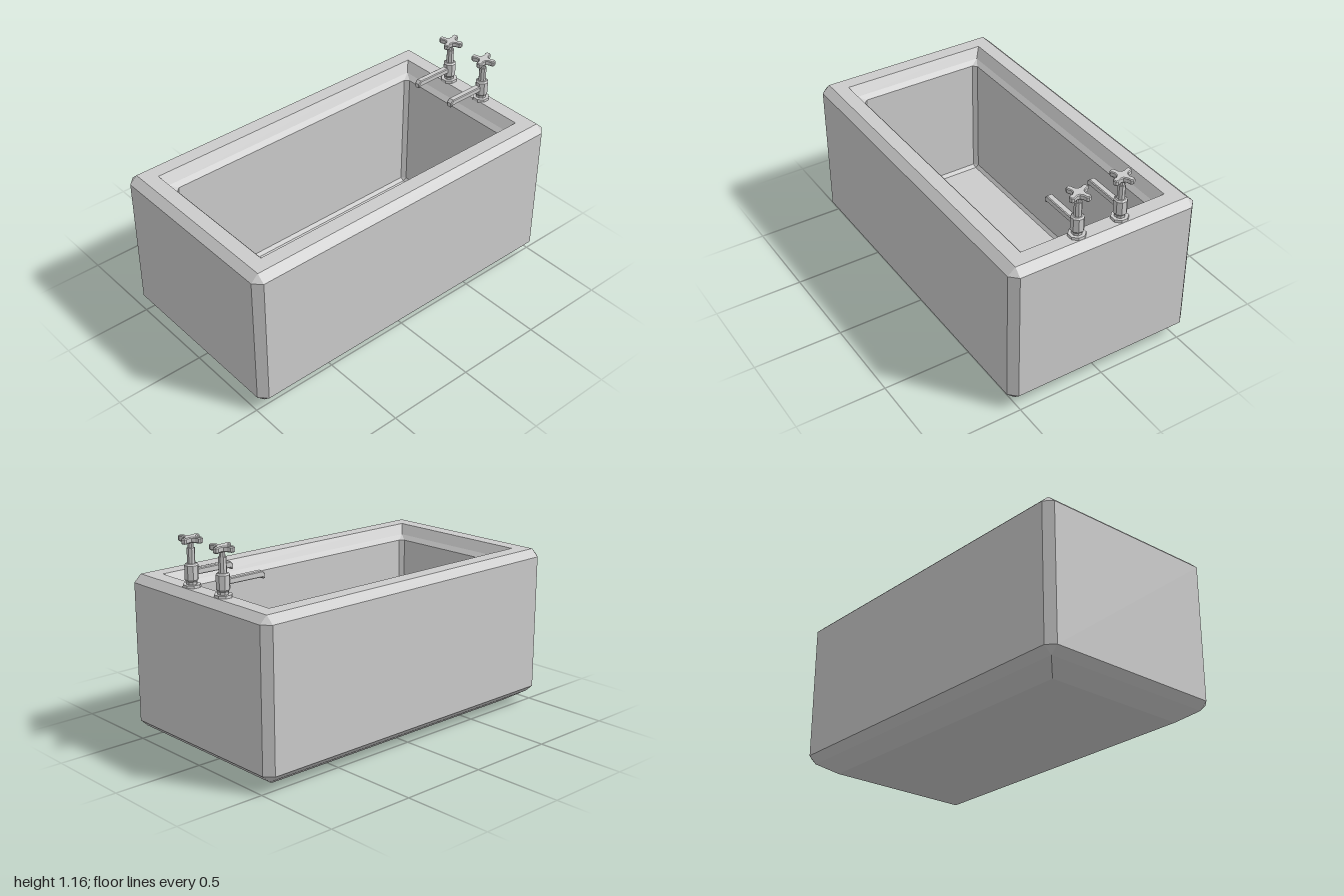
import * as THREE from 'three';

const grey = new THREE.MeshStandardMaterial({ color: 0xcccccc });
grey.name = 'plainGrey';

// Rectangle with cut corners: half width, half length, corner cut
function ring([y, hx, hz, c]) {
  const a = hx - c, b = hz - c;
  return [[hx, b], [a, hz], [-a, hz], [-hx, b], [-hx, -b], [-a, -hz], [a, -hz], [hx, -b]]
    .map(([x, z]) => new THREE.Vector3(x, y, z));
}

// Flat-faced skin through a list of rings
function loft(sections) {
  const rings = sections.map(ring), points = [];
  const face = (a, b, c) => {
    if (new THREE.Triangle(a, b, c).getArea() > 1e-8) points.push(a, b, c);
  };
  for (let i = 0; i < rings.length - 1; i++) {
    const lo = rings[i], hi = rings[i + 1];
    for (let j = 0; j < 8; j++) {
      const k = (j + 1) % 8;
      face(lo[j], hi[j], lo[k]);
      face(lo[k], hi[j], hi[k]);
    }
  }
  const geometry = new THREE.BufferGeometry().setFromPoints(points);
  geometry.computeVertexNormals();
  return geometry;
}

function add(parent, name, geometry, x = 0, y = 0, z = 0) {
  const mesh = new THREE.Mesh(geometry, grey);
  mesh.name = name;
  mesh.position.set(x, y, z);
  parent.add(mesh);
  return mesh;
}

// Faceted upright prism between two heights
function prism(parent, name, r0, r1, y0, y1, sides = 8) {
  const g = new THREE.CylinderGeometry(r1, r0, y1 - y0, sides).rotateY(Math.PI / sides).toNonIndexed();
  g.computeVertexNormals();
  return add(parent, name, g, 0, (y0 + y1) / 2, 0);
}

// Four-armed handle with flared ends and hollow curves between the arms
function handleGeometry() {
  const shape = new THREE.Shape();
  const at = (r, t) => [r * Math.cos(t), r * Math.sin(t)];
  shape.moveTo(...at(0.06, -0.26));
  for (let i = 0; i < 4; i++) {
    const t = i * Math.PI / 2;
    shape.lineTo(...at(0.068, t - 0.13));
    shape.lineTo(...at(0.068, t + 0.13));
    shape.lineTo(...at(0.06, t + 0.26));
    shape.quadraticCurveTo(...at(0.005, t + Math.PI / 4), ...at(0.06, t + Math.PI / 2 - 0.26));
  }
  return new THREE.ExtrudeGeometry(shape, {
    depth: 0.02, bevelEnabled: true, bevelThickness: 0.005, bevelSize: 0.004,
    bevelOffset: -0.004, bevelSegments: 1, curveSegments: 4,
  }).rotateX(-Math.PI / 2);
}

// Side outline of the spout, with a rounded-off tip and small lip
function spoutGeometry() {
  const outline = [[0, 0.96], [0.235, 0.958], [0.24, 0.95], [0.252, 0.95], [0.252, 0.974], [0.236, 0.991], [0, 0.991]];
  const shape = new THREE.Shape(outline.map(([z, y]) => new THREE.Vector2(z, y)));
  return new THREE.ExtrudeGeometry(shape, {
    depth: 0.026, bevelEnabled: true, bevelThickness: 0.005, bevelSize: 0.004,
    bevelOffset: -0.004, bevelSegments: 1,
  }).translate(0, 0, -0.013).rotateY(-Math.PI / 2);
}

function makeTap(name, x) {
  const tap = new THREE.Group();
  tap.name = name;
  tap.position.set(x, 0, -0.912);
  prism(tap, 'basePlate', 0.048, 0.046, 0.898, 0.914);
  prism(tap, 'neck', 0.028, 0.028, 0.912, 0.93);
  prism(tap, 'bodyTaper', 0.028, 0.036, 0.928, 0.938);
  prism(tap, 'body', 0.036, 0.036, 0.938, 1.012);
  prism(tap, 'bodyShoulder', 0.036, 0.028, 1.012, 1.02);
  prism(tap, 'stem', 0.021, 0.021, 1.02, 1.1);
  prism(tap, 'stemTop', 0.015, 0.015, 1.1, 1.135);
  add(tap, 'handle', handleGeometry(), 0, 1.133, 0).rotation.y = 0.36;
  add(tap, 'spout', spoutGeometry());
  return tap;
}

export function createModel() {
  const model = new THREE.Group();
  model.name = 'bathtub';

  // Outside from the underside up, over the rim, down the basin to its floor
  add(model, 'tub', loft([
    [0, 0, 0, 0],
    [0, 0.418, 0.865, 0],
    [0.06, 0.511, 0.958, 0],
    [0.1, 0.554, 1, 0.043],
    [0.86, 0.554, 1, 0.043],
    [0.9, 0.511, 0.958, 0],
    [0.9, 0.43, 0.877, 0],
    [0.845, 0.395, 0.842, 0],
    [0.82, 0.372, 0.819, 0.022],
    [0.12, 0.37, 0.817, 0.022],
    [0.1, 0.355, 0.802, 0],
    [0.1, 0, 0, 0],
  ]));

  // Drain: low collar with a flat plug
  const drain = new THREE.Group();
  drain.name = 'drain';
  drain.position.z = -0.58;
  prism(drain, 'drainCollar', 0.08, 0.078, 0.098, 0.106, 24);
  prism(drain, 'drainPlug', 0.06, 0.058, 0.104, 0.11, 24);
  model.add(drain);

  model.add(makeTap('rightTap', -0.125), makeTap('leftTap', 0.13));
  return model;
}
